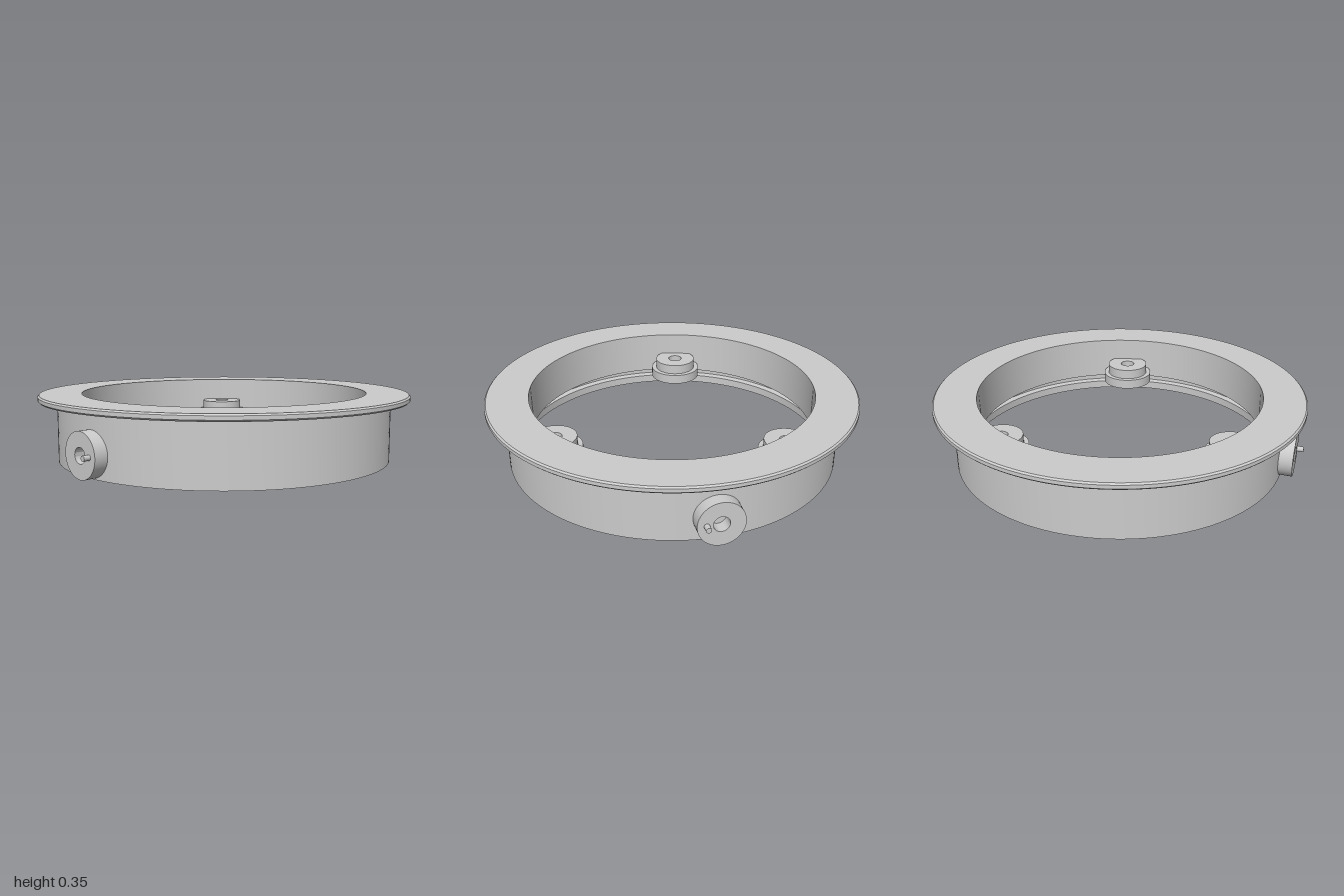
import * as THREE from 'three';
import { toCreasedNormals } from 'three/addons/utils/BufferGeometryUtils.js';

const material = new THREE.MeshStandardMaterial({ color: 0xcccccc });

// Closed cross-section (radius, height) turned about y, listed counter-clockwise.
function turned(name, section, segments) {
  const points = [...section, section[0]].map(([r, y]) => new THREE.Vector2(r, y));
  const geometry = toCreasedNormals(new THREE.LatheGeometry(points, segments), 0.5);
  const mesh = new THREE.Mesh(geometry, material);
  mesh.name = name;
  return mesh;
}

export function createModel() {
  const model = new THREE.Group();
  model.name = 'mountingRing';

  // Flanged ring with a stepped, grooved recess underneath
  model.add(turned('flangedRing', [
    [0.845, 0], [0.9, 0], [0.9, 0.32], [0.992, 0.32], [1, 0.328],
    [1, 0.347], [0.992, 0.355], [0.77, 0.355], [0.77, 0.12],
    [0.885, 0.12], [0.885, 0.11], [0.865, 0.11], [0.865, 0.08],
    [0.88, 0.08], [0.88, 0.05], [0.845, 0.045],
  ], 160));

  // Three stepped screw lugs, evenly spaced around the inside
  for (let i = 0; i < 3; i++) {
    const angle = THREE.MathUtils.degToRad(75 + i * 120);
    const lug = turned('screwLug', [
      [0.04, 0.12], [0.145, 0.12], [0.145, 0.175],
      [0.118, 0.175], [0.118, 0.23], [0.04, 0.23],
    ], 64);
    lug.position.set(Math.cos(angle) * 0.687, 0, Math.sin(angle) * 0.687);
    model.add(lug);
  }

  // Side pivot bosses, each with a centre hole and an off-centre stop pin
  for (const side of [1, -1]) {
    const pivot = new THREE.Group();
    pivot.name = side > 0 ? 'leftPivot' : 'rightPivot';

    const boss = turned('pivotBoss', [
      [0.04, 0.885], [0.116, 0.885], [0.116, 0.965], [0.04, 0.965],
    ], 64);
    boss.rotation.z = -side * Math.PI / 2;
    boss.position.y = 0.12;

    const pin = new THREE.Mesh(new THREE.CylinderGeometry(0.014, 0.014, 0.06, 24), material);
    pin.name = 'stopPin';
    pin.rotation.z = Math.PI / 2;
    pin.position.set(side * 0.97, 0.12, 0.07);

    pivot.add(boss, pin);
    model.add(pivot);
  }
  return model;
}
